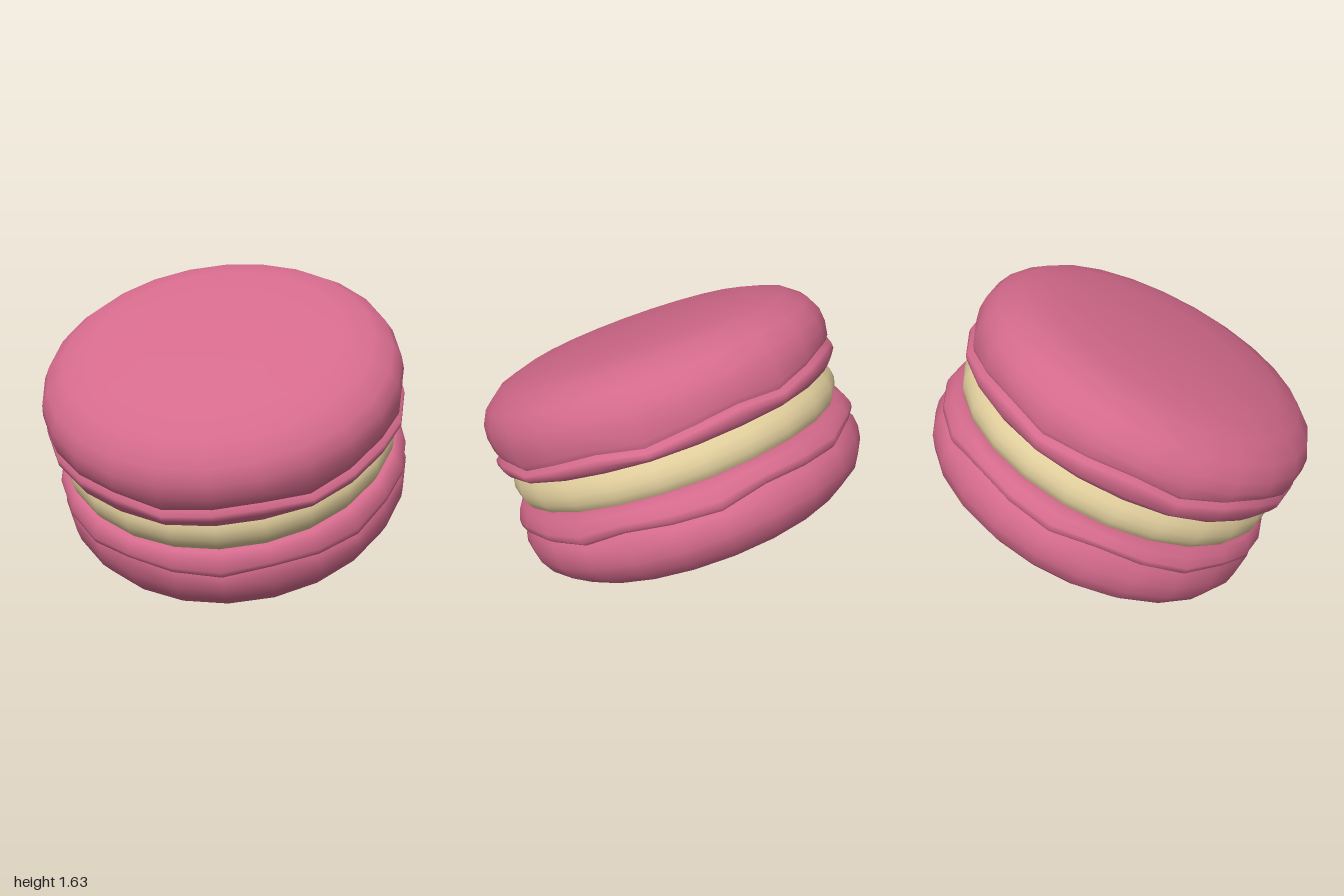
import * as THREE from 'three';
import { mergeVertices } from 'three/addons/utils/BufferGeometryUtils.js';

const SIDES = 24;

// Lathe whose points are [radius, height, ripple]; ripple says how far a ring follows the wavy seam
function rippledLathe(points, wave) {
  const geo = new THREE.LatheGeometry(points.map(([r, y]) => new THREE.Vector2(r, y)), SIDES);
  geo.deleteAttribute('uv');
  geo.deleteAttribute('normal');
  const pos = geo.attributes.position;
  for (let i = 0; i < pos.count; i++) {
    const ripple = points[i % points.length][2] || 0;
    const a = (Math.floor(i / points.length) % SIDES) / SIDES * Math.PI * 2;
    pos.setY(i, pos.getY(i) + ripple * wave(a));
  }
  const merged = mergeVertices(geo, 1e-4);
  merged.computeVertexNormals();
  return merged;
}

export function createModel() {
  const pink = new THREE.MeshStandardMaterial({ color: 0xd46a8c });
  pink.name = 'raspberry pink';
  const cream = new THREE.MeshStandardMaterial({ color: 0xe0cd9c });
  cream.name = 'vanilla cream';

  const biscuit = new THREE.Group();
  biscuit.name = 'sandwichBiscuit';

  const add = (parent, name, points, wave, material) => {
    const mesh = new THREE.Mesh(rippledLathe(points, wave), material);
    mesh.name = name;
    parent.add(mesh);
  };

  // One half: a smooth dome over a ruffled, flared foot, meeting at a wavy seam
  const addShell = (name, seam, lean, phase) => {
    const shell = new THREE.Group();
    shell.name = name;
    const wave = (a) => -lean * Math.sin(a) + 0.02 * Math.cos(8 * a - phase);
    add(shell, name + 'Dome', [
      [0.915, seam, 1], [0.936, seam + 0.03, 0.8], [0.946, 0.3, 0.2], [0.937, 0.37],
      [0.897, 0.445], [0.8, 0.518], [0.65, 0.562], [0.4, 0.59], [0, 0.6],
    ], wave, pink);
    add(shell, name + 'Foot', [
      [0, 0.08], [0.84, 0.08], [0.895, 0.09, 0.1], [0.925, 0.115, 0.4],
      [0.946, seam - 0.045, 0.8], [0.944, seam - 0.015, 1], [0.915, seam + 0.008, 1],
    ], wave, pink);
    biscuit.add(shell);
    return shell;
  };

  addShell('upperShell', 0.2, 0.03, 5.6);
  addShell('lowerShell', 0.21, 0.015, 2.65).rotation.z = Math.PI;

  // Bulging cream layer
  add(biscuit, 'filling', [
    [0, -0.11], [0.83, -0.11], [0.87, -0.09], [0.895, -0.045],
    [0.903, 0], [0.895, 0.045], [0.87, 0.09], [0.83, 0.11], [0, 0.11],
  ], () => 0, cream);

  // Lean forward and slightly to the right
  const axis = new THREE.Vector3(-0.19, 0.897, 0.4).normalize();
  biscuit.quaternion.setFromUnitVectors(new THREE.Vector3(0, 1, 0), axis);

  // Centre it and rest it on the ground
  const model = new THREE.Group();
  model.name = 'macaron';
  model.add(biscuit);
  model.updateMatrixWorld(true);
  const box = new THREE.Box3().setFromObject(model, true);
  const mid = box.getCenter(new THREE.Vector3());
  biscuit.position.set(-mid.x, -box.min.y, -mid.z);
  return model;
}
